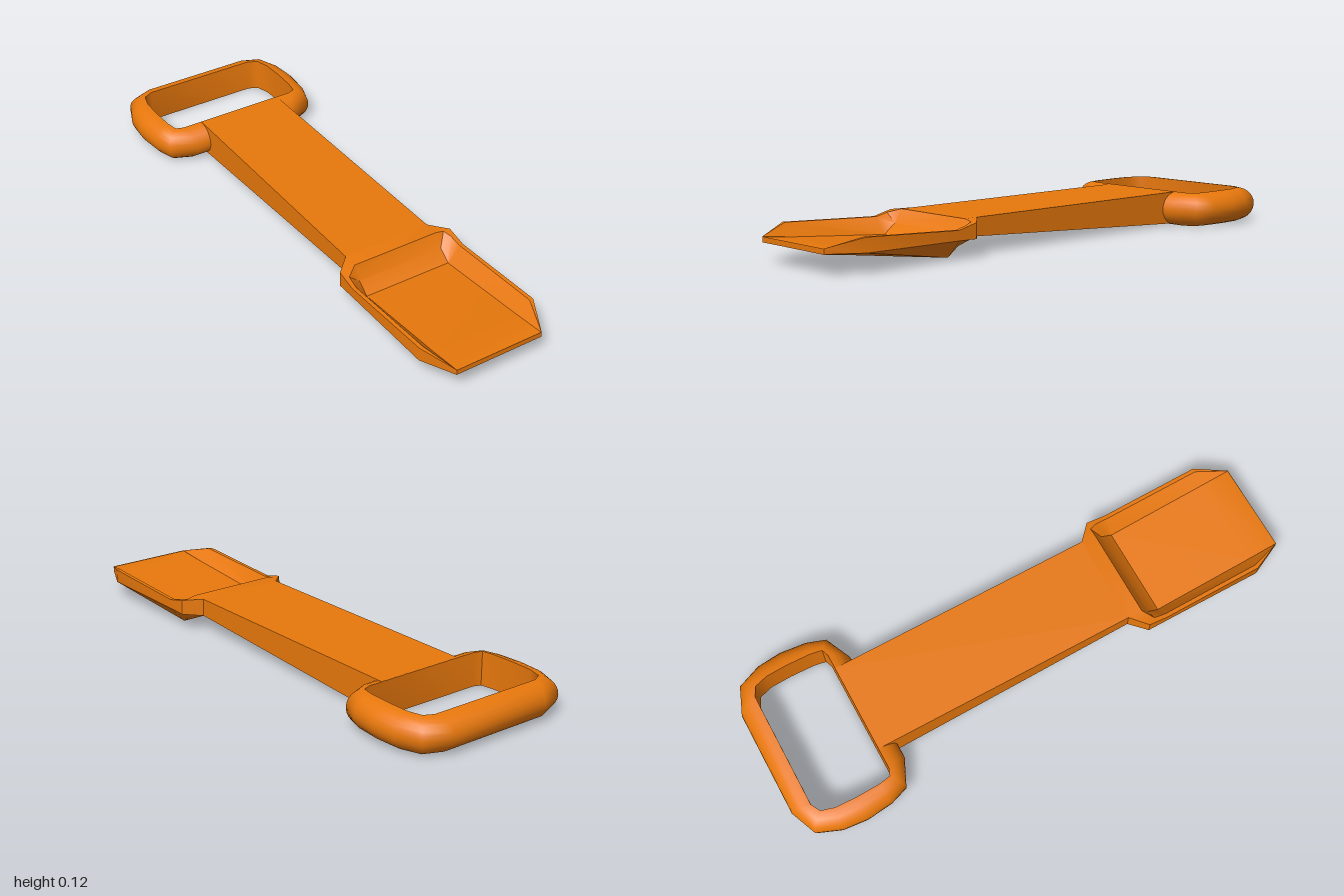
import * as THREE from 'three';
import { toCreasedNormals } from 'three/addons/utils/BufferGeometryUtils.js';

const CX = 0.0115; // shaft and scoop sit slightly off the grip's centre line
const HALF = 0.1685; // half width of the shaft

// Skin a list of closed cross-sections; optionally join the last to the first.
function loft(rings, { closed = false, capEnd = false, crease = 0.6 } = {}) {
  const n = rings[0].length;
  const index = [];
  const quad = (a, b, c, d) => index.push(a, b, c, a, c, d);
  const last = closed ? rings.length : rings.length - 1;
  for (let i = 0; i < last; i++) {
    const p = i * n, q = ((i + 1) % rings.length) * n;
    for (let j = 0; j < n; j++) {
      const k = (j + 1) % n;
      quad(p + j, p + k, q + k, q + j);
    }
  }
  if (capEnd) {
    const p = (rings.length - 1) * n;
    for (let j = 0; j < n / 2 - 1; j++) quad(p + j, p + j + 1, p + n - 2 - j, p + n - 1 - j);
  }
  const geo = new THREE.BufferGeometry();
  geo.setAttribute('position', new THREE.Float32BufferAttribute(rings.flat(2), 3));
  geo.setIndex(index);
  return toCreasedNormals(geo, crease);
}

// D-section loop: flat inner wall, half-round outside.
function gripGeometry() {
  // [outer x, outer z, inner x, inner z], from front to back on the left side
  const half = [
    [0.21, -0.565, 0.235, -0.635],
    [0.31, -0.61, 0.262, -0.645],
    [0.335, -0.68, 0.27, -0.69],
    [0.346, -0.78, 0.273, -0.78],
    [0.337, -0.87, 0.27, -0.86],
    [0.3, -0.96, 0.255, -0.91],
    [0.2, -1, 0.22, -0.928],
  ];
  const mirrored = half.map(([ox, oz, ix, iz]) => [-ox, oz, -ix, iz]).reverse();
  const steps = 12, r = 0.0625;
  const rings = [...half, ...mirrored].map(([ox, oz, ix, iz]) => {
    const ring = [];
    for (let j = 0; j <= steps; j++) {
      const t = (j / steps) * Math.PI, s = Math.sin(t);
      ring.push([ix + (ox - ix) * s, r + r * Math.cos(t), iz + (oz - iz) * s]);
    }
    return ring;
  });
  return loft(rings, { closed: true, crease: 0.85 });
}

// Box whose underside tapers upward towards the scoop.
function shaftGeometry() {
  const z0 = -0.634, z1 = 0.37, top = 0.125;
  const geo = new THREE.BoxGeometry(2 * HALF, 1, z1 - z0);
  geo.translate(CX, 0, (z0 + z1) / 2);
  const pos = geo.attributes.position;
  for (let i = 0; i < pos.count; i++) {
    const bottom = pos.getZ(i) > 0 ? 0.06 : 0.004;
    pos.setY(i, pos.getY(i) > 0 ? top : bottom);
  }
  geo.computeVertexNormals();
  return geo;
}

// Shoulder and hollow blade in one skin.
function scoopGeometry() {
  // [z, outer half width, rim half width, rim y, floor y, side low y, bottom y]
  const stations = [
    [0.37, HALF, HALF, 0.125, 0.125, 0.06, 0.06],
    [0.425, 0.2275, 0.2, 0.118, 0.125, 0.063, 0.062],
    [0.455, 0.2275, 0.21, 0.111, 0.078, 0.064, 0.036],
    [0.5, 0.2275, 0.213, 0.1, 0.042, 0.065, 0.002],
    [0.88, 0.2275, 0.213, 0.118, 0.074, 0.068, 0.054],
    [1, HALF, HALF, 0.088, 0.086, 0.07, 0.069],
  ];
  const rings = stations.map(([z, xo, xr, rim, floor, low, bottom]) => {
    const side = [[HALF, bottom], [xo, low], [xo, rim], [xr, rim], [HALF, floor]];
    const other = side.map(([x, y]) => [-x, y]).reverse();
    return [...side, ...other].map(([x, y]) => [CX + x, y, z]);
  });
  return loft(rings, { capEnd: true, crease: 0.5 });
}

export function createModel() {
  const group = new THREE.Group();
  group.name = 'handScoop';
  const material = new THREE.MeshStandardMaterial({ color: 0xe8780c });
  const parts = { grip: gripGeometry(), shaft: shaftGeometry(), scoop: scoopGeometry() };
  for (const [name, geometry] of Object.entries(parts)) {
    const mesh = new THREE.Mesh(geometry, material);
    mesh.name = name;
    group.add(mesh);
  }
  return group;
}
